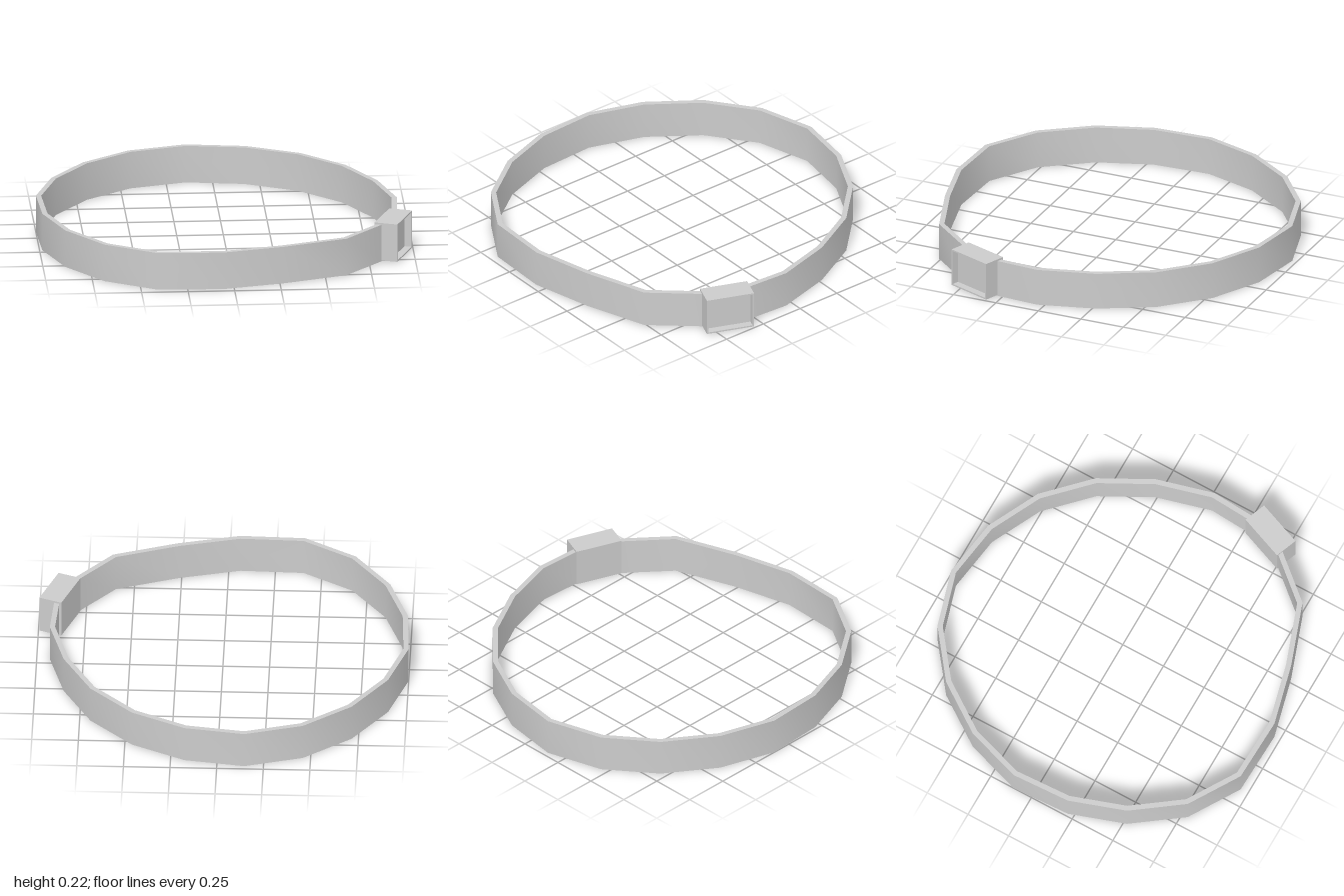
import * as THREE from 'three';
import { toCreasedNormals } from 'three/addons/utils/BufferGeometryUtils.js';

const mat = new THREE.MeshStandardMaterial({ color: 0xcccccc });

// Outer edge of the strap seen from above (x, z), from one buckle end to the other
const OUTLINE = [
  [0.90, 0.40], [0.915, 0.28], [0.93, 0.04], [0.845, -0.27], [0.692, -0.555], [0.462, -0.782],
  [0.175, -0.925], [-0.147, -0.973], [-0.458, -0.882], [-0.714, -0.685], [-0.9, -0.417],
  [-1.0, -0.11], [-0.985, 0.215], [-0.88, 0.52], [-0.687, 0.785], [-0.41, 0.955],
  [-0.06, 0.966], [0.27, 0.883], [0.615, 0.76], [0.82, 0.52], [0.86, 0.47],
];

// Moves an open polyline inward by d, mitred at its corners
function inset(pts, d) {
  const normal = (a, b) => new THREE.Vector2(a.y - b.y, b.x - a.x).normalize();
  return pts.map((p, i) => {
    const n1 = normal(pts[Math.max(i - 1, 0)], pts[Math.max(i, 1)]);
    const last = pts.length - 1;
    const n2 = normal(pts[Math.min(i, last - 1)], pts[Math.min(i + 1, last)]);
    const m = n1.clone().add(n2).normalize();
    return p.clone().addScaledVector(m, d / m.dot(n1));
  });
}

function makeStrap() {
  const outer = OUTLINE.map(([x, z]) => new THREE.Vector2(x, -z));
  const inner = inset(outer, 0.028);
  const shape = new THREE.Shape([...outer, ...inner.reverse()]);
  const geo = new THREE.ExtrudeGeometry(shape, { depth: 0.205, bevelEnabled: false });
  geo.rotateX(-Math.PI / 2);
  const strap = new THREE.Mesh(toCreasedNormals(geo, 0.9), mat);
  strap.name = 'strap';
  return strap;
}

function rect(w, h, Type) {
  const x = w / 2, y = h / 2;
  return new Type([[-x, -y], [x, -y], [x, y], [-x, y]].map(p => new THREE.Vector2(...p)));
}

// Boxy buckle with a thin rim around a recessed outer face (local +z points outward)
function makeBuckle() {
  const W = 0.264, H = 0.21, D = 0.128, recess = 0.04, wall = 0.008;
  const buckle = new THREE.Group();
  buckle.name = 'buckle';

  const body = new THREE.Mesh(new THREE.BoxGeometry(W, H, D - recess), mat);
  body.name = 'buckleBody';
  body.position.z = -recess / 2;

  const frame = rect(W, H, THREE.Shape);
  frame.holes.push(rect(W - 2 * wall, H - 2 * wall, THREE.Path));
  const rim = new THREE.Mesh(
    new THREE.ExtrudeGeometry(frame, { depth: recess, bevelEnabled: false }), mat);
  rim.name = 'buckleRim';
  rim.position.z = D / 2 - recess;

  buckle.add(body, rim);
  buckle.position.set(0.888, 0.11, 0.41);
  buckle.rotation.y = 1.203;
  return buckle;
}

export function createModel() {
  const model = new THREE.Group();
  model.name = 'belt';
  model.add(makeStrap(), makeBuckle());
  return model;
}
